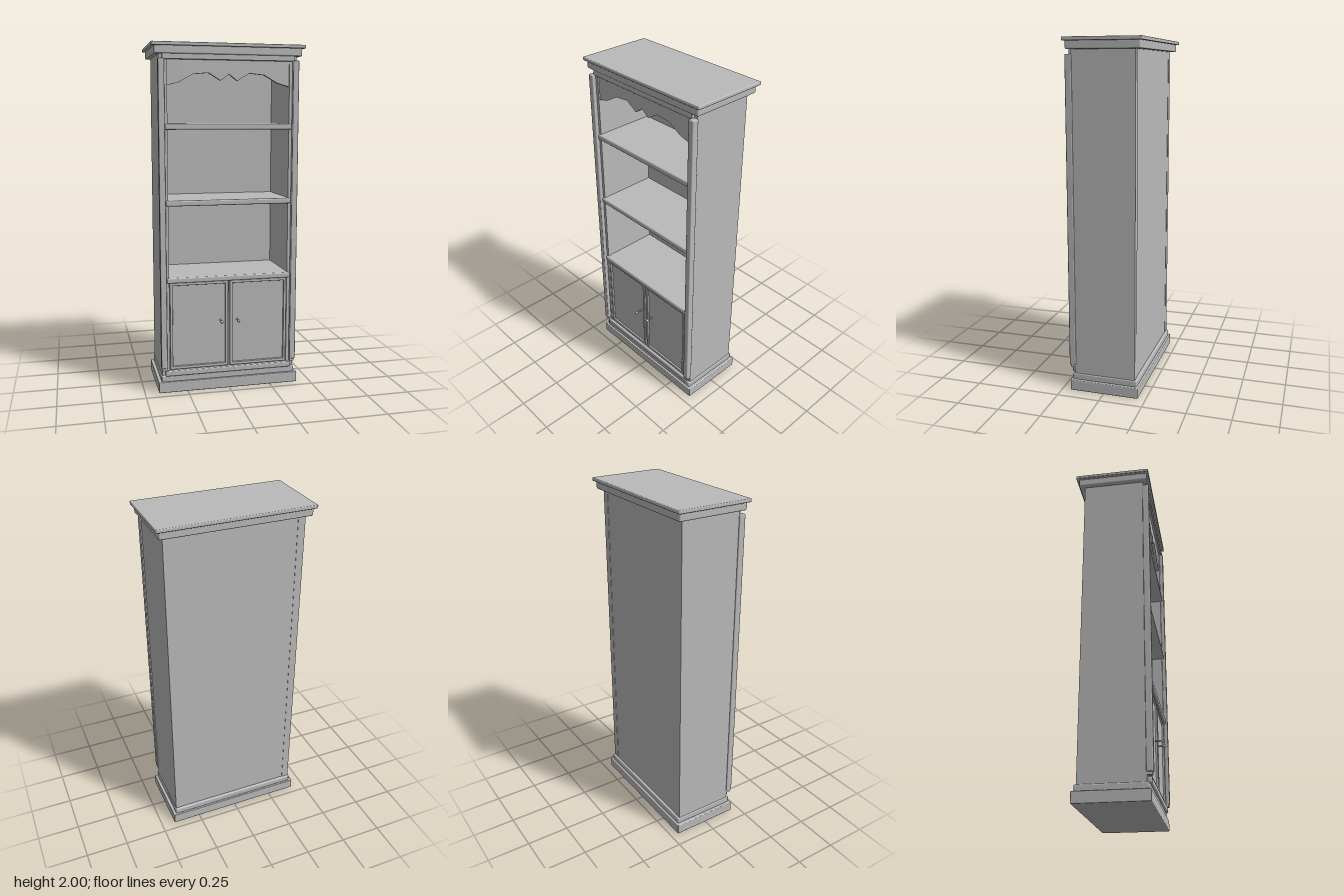
import * as THREE from 'three';
import { RoundedBoxGeometry } from 'three/addons/geometries/RoundedBoxGeometry.js';

export function createModel() {
  const model = new THREE.Group();
  model.name = 'bookcase';
  const grey = new THREE.MeshStandardMaterial({ color: 0xbababa });
  grey.name = 'grey paint';

  const add = (name, geometry, parent = model) => {
    const mesh = new THREE.Mesh(geometry, grey);
    mesh.name = name;
    parent.add(mesh);
    return mesh;
  };
  // box given by its limits, with optionally rounded edges
  const box = (name, [x0, x1], [y0, y1], [z0, z1], round = 0, parent = model) => {
    const size = [x1 - x0, y1 - y0, z1 - z0];
    const geometry = round ? new RoundedBoxGeometry(...size, 2, round) : new THREE.BoxGeometry(...size);
    const mesh = add(name, geometry, parent);
    mesh.position.set((x0 + x1) / 2, (y0 + y1) / 2, (z0 + z1) / 2);
    return mesh;
  };
  const wide = (name, halfX, y, z, round) => box(name, [-halfX, halfX], y, z, round);

  // stepped base
  wide('plinth', 0.42, [0, 0.063], [-0.205, 0.2], 0.005);
  wide('plinthStep', 0.403, [0.06, 0.1], [-0.195, 0.19], 0.008);
  wide('bottomRail', 0.38, [0.098, 0.13], [0.15, 0.2], 0.006);

  // carcass
  wide('bottomBoard', 0.36, [0.095, 0.125], [-0.17, 0.17]);
  wide('topBoard', 0.36, [1.91, 1.94], [-0.17, 0.17]);
  wide('backPanel', 0.36, [0.095, 1.94], [-0.18, -0.168]);

  // stepped cornice
  wide('frieze', 0.38, [1.908, 1.94], [0.15, 0.195], 0.004);
  wide('corniceMoulding', 0.425, [1.937, 1.984], [-0.215, 0.2], 0.008);
  wide('corniceTop', 0.442, [1.98, 2], [-0.23, 0.213], 0.005);

  // shelves with rounded front lips
  for (const y of [0.667, 1.111, 1.54]) {
    wide('shelf', 0.36, [y - 0.016, y + 0.016], [-0.17, 0.18]);
    wide('shelfLip', 0.368, [y - 0.016, y + 0.016], [0.165, 0.2], 0.008);
  }

  // scalloped valance, mirrored about the centre
  const half = [[0, 1.832], [0.048, 1.796], [0.118, 1.838], [0.205, 1.83], [0.285, 1.785], [0.358, 1.765]];
  const outline = [
    ...half.slice(1).reverse().map(([x, y]) => new THREE.Vector2(-x, y)),
    ...half.map(([x, y]) => new THREE.Vector2(x, y)),
    new THREE.Vector2(0.358, 1.915), new THREE.Vector2(-0.358, 1.915),
  ];
  const valance = add('valance', new THREE.ExtrudeGeometry(new THREE.Shape(outline), { depth: 0.02, bevelEnabled: false }));
  valance.position.z = 0.16;

  // sides, pilasters and doors on both halves
  for (const s of [-1, 1]) {
    const span = (a, b) => (s > 0 ? [a, b] : [-b, -a]);
    box('sidePanel', span(0.355, 0.398), [0.095, 1.94], [-0.182, 0.176]);
    box('pilaster', span(0.37, 0.405), [0.15, 1.912], [0.172, 0.21], 0.006);
    box('pilasterFillet', span(0.353, 0.374), [0.13, 1.912], [0.165, 0.188]);
    box('pilasterFoot', span(0.372, 0.399), [0.135, 0.155], [0.172, 0.205]);

    const door = new THREE.Group();
    door.name = s > 0 ? 'leftDoor' : 'rightDoor';
    model.add(door);
    box('doorPanel', span(0.004, 0.353), [0.13, 0.652], [0.15, 0.178], 0, door);
    for (const [a, b] of [[0.005, 0.022], [0.334, 0.35]])
      box('doorStile', span(a, b), [0.135, 0.651], [0.165, 0.19], 0.003, door);
    for (const y of [[0.135, 0.153], [0.634, 0.651]])
      box('doorRail', span(0.018, 0.338), y, [0.165, 0.19], 0.003, door);

    // turned knob
    const profile = [[0, 0], [0.005, 0], [0.004, 0.035], [0.009, 0.039], [0.009, 0.047], [0.006, 0.051], [0, 0.052]];
    const knob = add('knob', new THREE.LatheGeometry(profile.map(([r, h]) => new THREE.Vector2(r, h)), 16), door);
    knob.rotation.x = Math.PI / 2;
    knob.position.set(s * 0.05, 0.412, 0.177);
  }
  return model;
}
